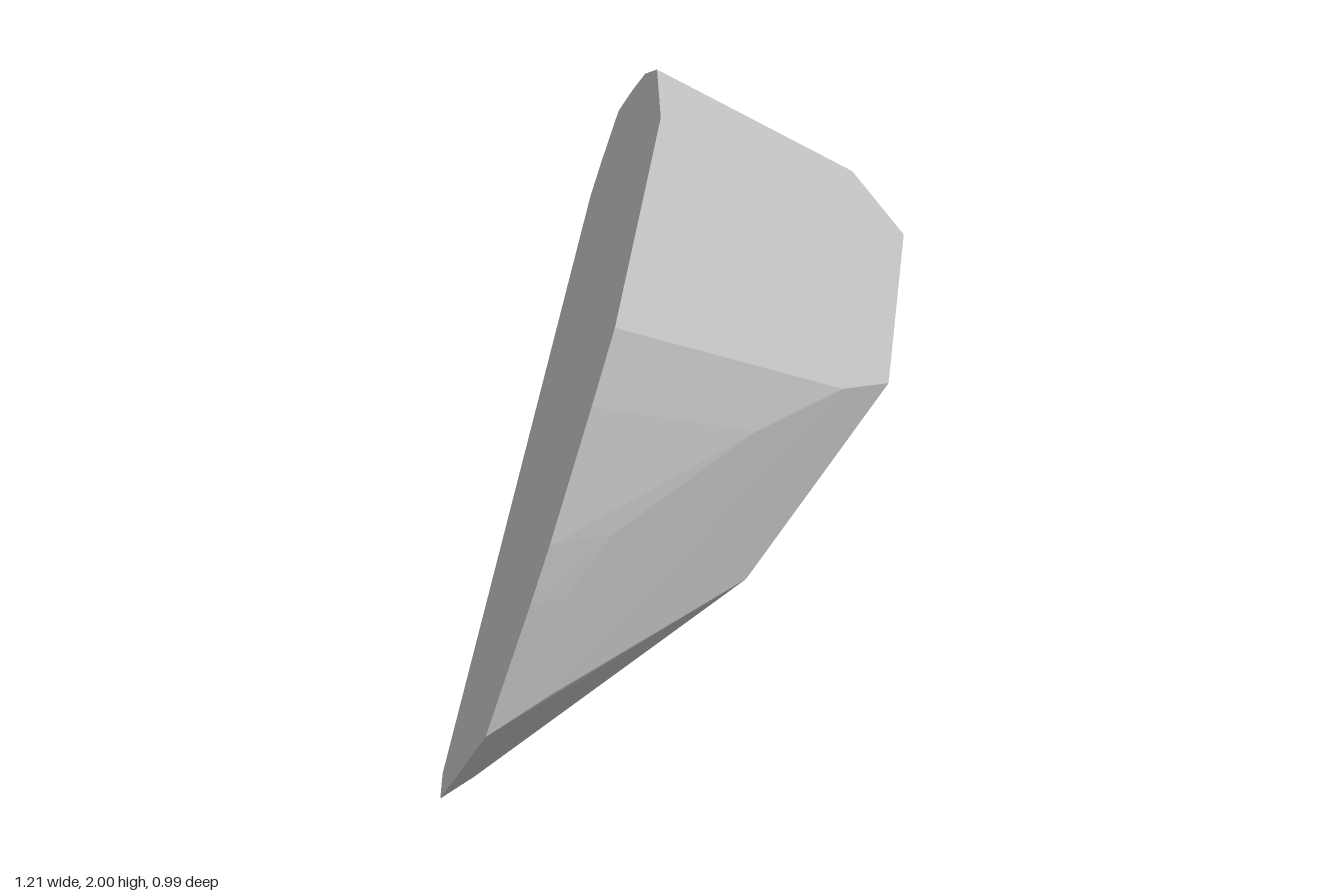
import * as THREE from 'three';
import { ConvexGeometry } from 'three/addons/geometries/ConvexGeometry.js';

// A faceted stone wedge: two flat cut faces joined by a band of bevelled facets.
export function createModel() {
  const group = new THREE.Group();
  group.name = 'stoneShard';
  const stone = new THREE.MeshStandardMaterial({ color: 0xc8c8c8 });
  stone.name = 'stone grey';

  // Outline of the left cut face as [z, y]; x follows from its plane
  const leftOutline = [
    [0.02, 0], [0.43, 0.51], [0.485, 0.92], [0.497, 1.08], [0.485, 1.42], [0.47, 1.6],
    [0.235, 1.98], [-0.02, 2], [-0.18, 1.935], [-0.3, 1.855], [-0.44, 1.75],
    [-0.48, 1.6], [-0.495, 1.5],
  ];
  // Outline of the right cut face as [z, y]
  const rightOutline = [
    [0.01, 0.05], [0.25, 0.75], [0.24, 1.26], [0.07, 1.57], [-0.11, 1.67], [-0.18, 1.672],
    [-0.27, 1.665], [-0.415, 1.635], [-0.485, 1.47], [-0.47, 1.1], [-0.06, 0.02],
  ];
  // Ridge across the front facets as [x, y]; z follows from the lower front plane
  const frontRidge = [[-0.35, 0.59], [-0.32, 0.9], [-0.2, 1.06], [0.16, 1.24], [0.39, 1.29]];

  const points = [
    ...leftOutline.map(([z, y]) => new THREE.Vector3(-0.6 + 0.303 * y - 0.172 * z, y, z)),
    ...rightOutline.map(([z, y]) => new THREE.Vector3(-0.55 + 0.697 * y + 0.82 * z, y, z)),
    ...frontRidge.map(([x, y]) => new THREE.Vector3(x, y, 0.164 - 0.337 * x + 0.205 * y)),
  ];

  const shard = new THREE.Mesh(new ConvexGeometry(points), stone);
  shard.name = 'shard';
  group.add(shard);
  return group;
}
